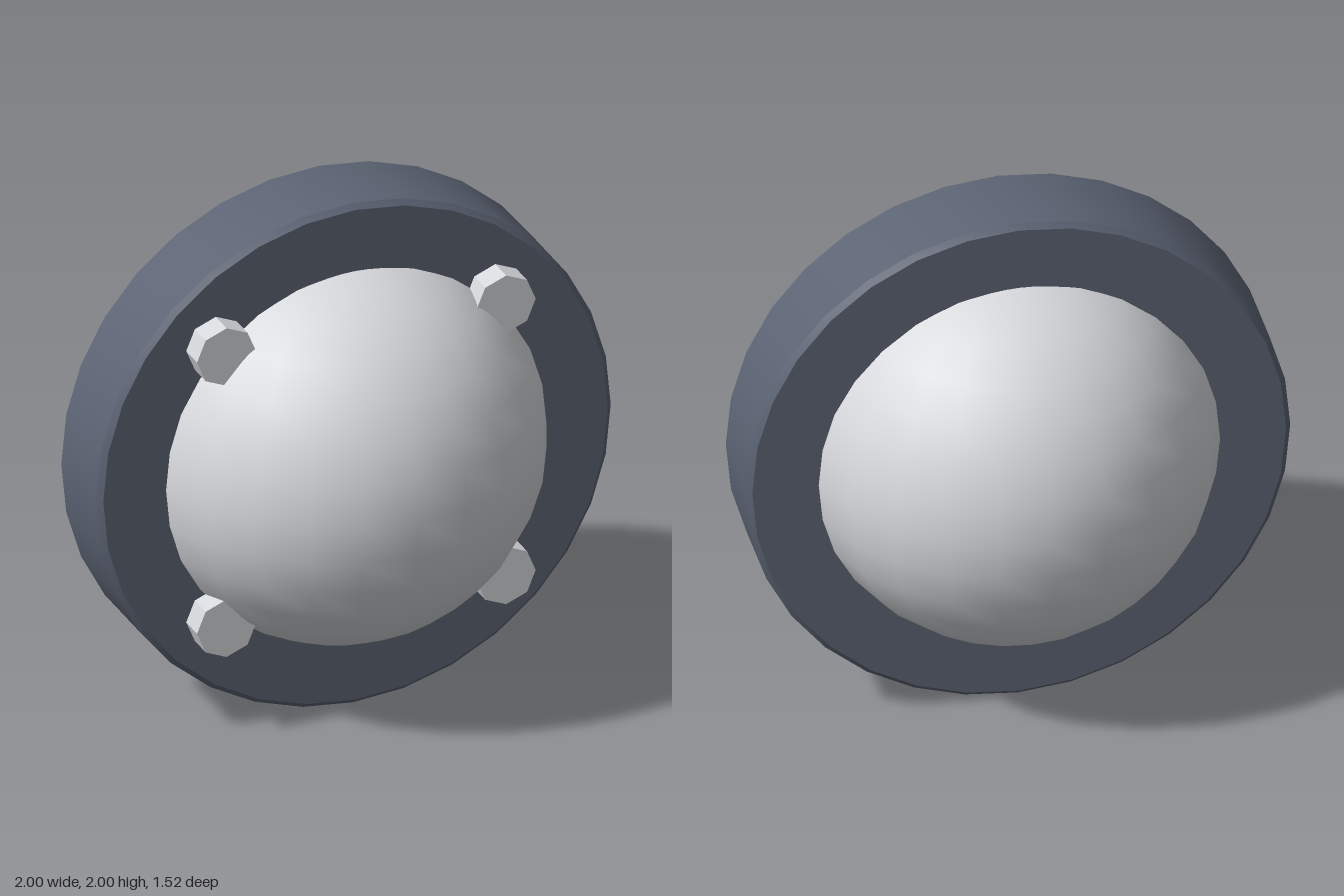
import * as THREE from 'three';
import { toCreasedNormals } from 'three/addons/utils/BufferGeometryUtils.js';

const darkMetal = new THREE.MeshStandardMaterial({ name: 'slate grey', color: 0x5c6474 });
const lightShell = new THREE.MeshStandardMaterial({ name: 'pale grey', color: 0xd6d8dc });

export function createModel() {
  const model = new THREE.Group();
  model.name = 'ringedSphere';

  function add(name, geometry, material, x, y, z) {
    const mesh = new THREE.Mesh(geometry, material);
    mesh.name = name;
    mesh.position.set(x, y, z);
    model.add(mesh);
    return mesh;
  }

  // Central ball
  add('ball', new THREE.SphereGeometry(0.76, 24, 16), lightShell, 0, 1, 0);

  // Thick ring with bevelled rims, its inner wall hidden inside the ball
  const r = 1, h = 0.18, b = 0.02, inner = 0.6;
  const profile = [
    [inner, -h], [r - b, -h], [r, -h + b], [r, h - b], [r - b, h], [inner, h], [inner, -h],
  ].map(([x, y]) => new THREE.Vector2(x, y));
  const ring = toCreasedNormals(new THREE.LatheGeometry(profile, 32), 0.5);
  ring.rotateX(Math.PI / 2);
  add('ring', ring, darkMetal, 0, 1, 0);

  // Four octagonal bolts on the front face
  const bolt = toCreasedNormals(new THREE.CylinderGeometry(0.115, 0.115, 0.16, 8), 0.5);
  bolt.rotateX(Math.PI / 2);
  for (const sx of [-1, 1]) {
    for (const sy of [-1, 1]) {
      const name = (sy > 0 ? 'upper' : 'lower') + (sx > 0 ? 'Left' : 'Right') + 'Bolt';
      add(name, bolt, lightShell, sx * 0.543, 1 + sy * 0.543, 0.2);
    }
  }
  return model;
}
